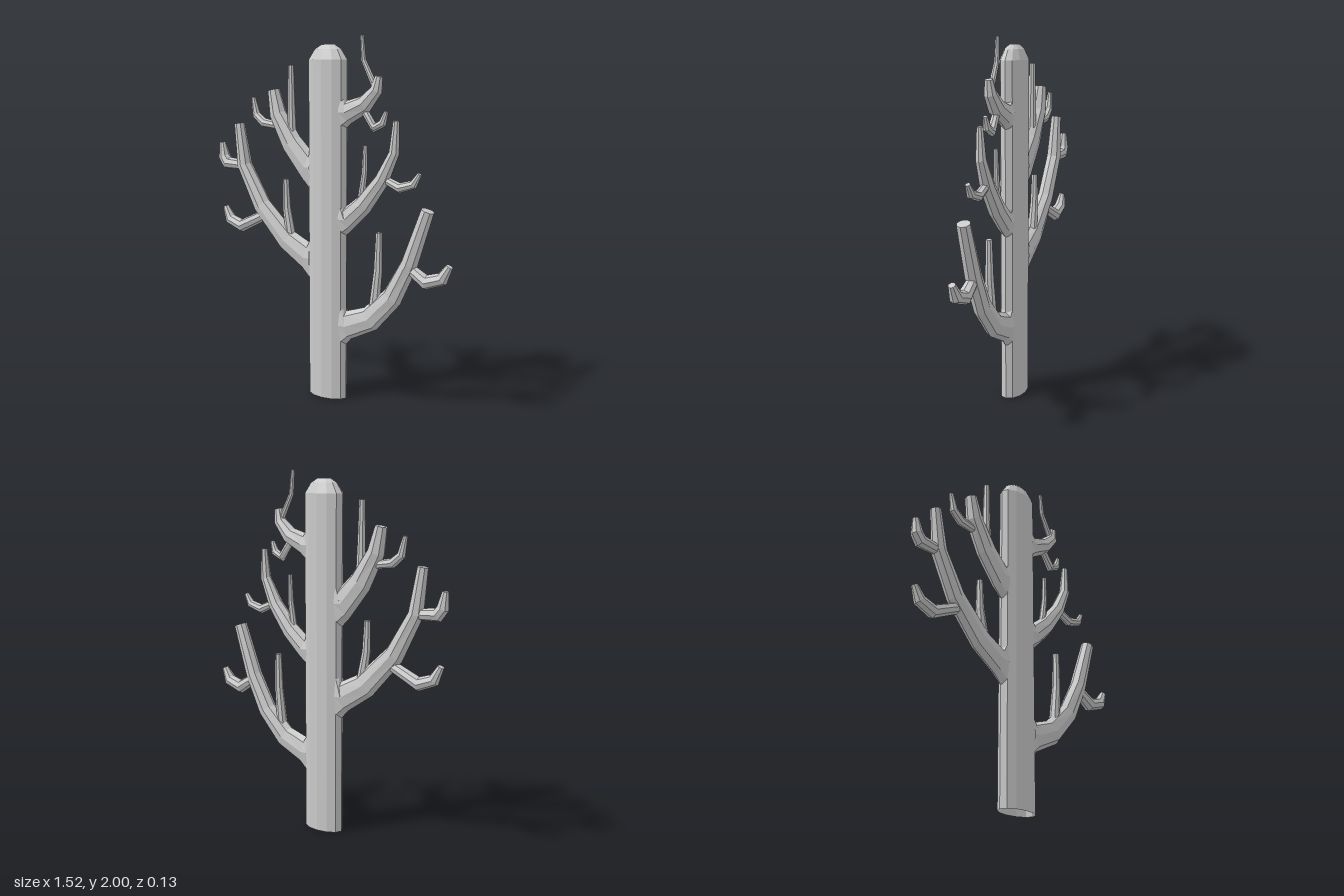
import * as THREE from 'three';

const material = new THREE.MeshStandardMaterial({ color: 0xcccccc, flatShading: true, side: THREE.DoubleSide });
const SIDES = 8;
const MAX_DEPTH = 0.045; // limbs are flattened in z
const { lerp } = THREE.MathUtils;

// Limb in the xy plane: one ring of radius radii[i] around each [x, y] point
function limb(name, points, radii) {
  const pos = [], index = [], n = points.length;
  const path = points.map(([x, y]) => new THREE.Vector2(x, y));
  const dir = (a, b) => b.clone().sub(a).normalize();
  path.forEach((p, i) => {
    const t = new THREE.Vector2();
    if (i > 0) t.add(dir(path[i - 1], p));
    if (i < n - 1) t.add(dir(p, path[i + 1]));
    t.normalize();
    for (let j = 0; j < SIDES; j++) {
      const a = (j / SIDES) * Math.PI * 2, c = Math.cos(a) * radii[i];
      pos.push(p.x - t.y * c, p.y + t.x * c, Math.sin(a) * Math.min(radii[i], MAX_DEPTH));
      if (i < n - 1) {
        const k = (j + 1) % SIDES, lo = i * SIDES, hi = lo + SIDES;
        index.push(lo + j, lo + k, hi + k, lo + j, hi + k, hi + j);
      }
    }
  });
  // flat end cap
  const last = (n - 1) * SIDES;
  for (let j = 1; j < SIDES - 1; j++) index.push(last, last + j, last + j + 1);
  const g = new THREE.BufferGeometry();
  g.setAttribute('position', new THREE.Float32BufferAttribute(pos, 3));
  g.setIndex(index);
  g.computeVertexNormals();
  const mesh = new THREE.Mesh(g, material);
  mesh.name = name;
  return mesh;
}

// Main branch tapering evenly from r0 to r1, with a wide collar inside the trunk
function branch(points, r0, r1) {
  const [x, y] = points[0];
  const radii = points.map((p, i) => lerp(r0, r1, i / (points.length - 1)));
  return limb('branch', [[x - Math.sign(x) * 0.04, y], ...points], [r0 * 1.8, ...radii]);
}

// Upright twig that leans out first, then rises straight
function shoot([x0, y0], [x1, y1], r) {
  const middle = [lerp(x0, x1, 0.85), lerp(y0, y1, 0.5)];
  return limb('uprightTwig', [[x0, y0], middle, [x1, y1]], [r, r * 0.8, r * 0.6]);
}

// Sideways twig that swells at the elbow and hooks up to a thin tip
function hook(start, elbow, tip, r) {
  const bend = [lerp(elbow[0], tip[0], 0.7), lerp(elbow[1], tip[1], 0.3)];
  return limb('hookedTwig', [start, elbow, bend, tip], [r * 0.8, r, r * 0.9, r * 0.48]);
}

function bough(name, ...parts) {
  const group = new THREE.Group();
  group.name = name;
  return group.add(...parts);
}

// Oval trunk, open at the bottom, with a domed top
function createTrunk() {
  const profile = [[0.12, 0], [0.12, 1.875], [0.082, 1.93], [0.04, 1.955], [0, 1.955]];
  const g = new THREE.LatheGeometry(profile.map(([r, y]) => new THREE.Vector2(r, y)), 12);
  g.scale(1, 1, 0.56);
  const trunk = new THREE.Mesh(g, material);
  trunk.position.x = 0.005;
  trunk.name = 'trunk';
  return trunk;
}

export function createModel() {
  const model = new THREE.Group();
  model.name = 'bareTree';
  model.add(createTrunk());

  model.add(bough('lowerLeftBough',
    branch([[0.14, 0.43], [0.28, 0.49], [0.415, 0.63], [0.515, 0.825], [0.615, 1.115]], 0.08, 0.037),
    shoot([0.305, 0.56], [0.33, 0.97], 0.031),
    hook([0.535, 0.79], [0.615, 0.74], [0.745, 0.84], 0.04)));

  model.add(bough('middleLeftBough',
    branch([[0.135, 1.025], [0.235, 1.115], [0.345, 1.255], [0.415, 1.4], [0.425, 1.565]], 0.065, 0.018),
    shoot([0.215, 1.13], [0.24, 1.43], 0.021),
    hook([0.355, 1.26], [0.45, 1.22], [0.565, 1.3], 0.027)));

  model.add(bough('upperLeftBough',
    branch([[0.135, 1.6], [0.235, 1.645], [0.305, 1.72], [0.32, 1.79]], 0.062, 0.022),
    shoot([0.295, 1.74], [0.215, 2], 0.018),
    hook([0.235, 1.61], [0.295, 1.525], [0.365, 1.61], 0.026)));

  model.add(bough('lowerRightBough',
    branch([[-0.135, 0.785], [-0.27, 0.865], [-0.45, 1.05], [-0.575, 1.275], [-0.61, 1.515]], 0.083, 0.03),
    shoot([-0.245, 0.88], [-0.28, 1.215], 0.03),
    hook([-0.43, 0.995], [-0.6, 0.915], [-0.725, 1.02], 0.038),
    hook([-0.6, 1.275], [-0.7, 1.28], [-0.74, 1.4], 0.038)));

  model.add(bough('upperRightBough',
    branch([[-0.13, 1.295], [-0.235, 1.415], [-0.33, 1.575], [-0.36, 1.71]], 0.085, 0.034),
    shoot([-0.235, 1.44], [-0.24, 1.845], 0.028),
    hook([-0.32, 1.51], [-0.43, 1.525], [-0.505, 1.665], 0.027)));

  return model;
}
